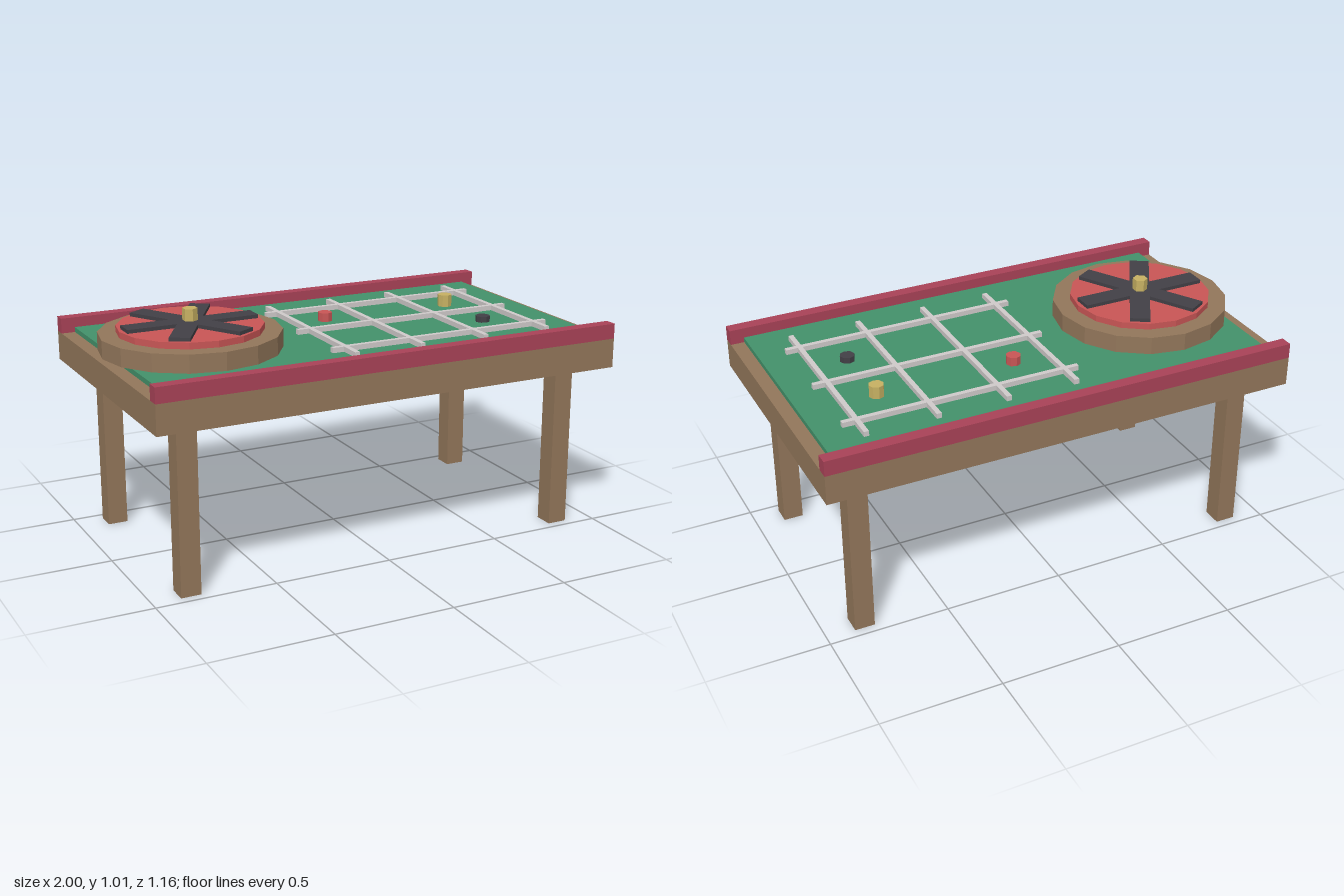
import * as THREE from 'three';

export function createModel() {
  const root = new THREE.Group();
  root.name = 'gamingTable';

  const material = (name, color) => {
    const m = new THREE.MeshStandardMaterial({ color, flatShading: true });
    m.name = name;
    return m;
  };
  const wood = material('wood', 0x92765a);
  const felt = material('greenFelt', 0x43916a);
  const crimson = material('crimsonRail', 0xa84257);
  const red = material('red', 0xc85555);
  const dark = material('charcoal', 0x424046);
  const pale = material('paleGrey', 0xcfcaca);
  const gold = material('gold', 0xc6b062);

  const add = (name, geometry, mat, x, y, z, parent = root) => {
    const mesh = new THREE.Mesh(geometry, mat);
    mesh.name = name;
    mesh.position.set(x, y, z);
    parent.add(mesh);
    return mesh;
  };
  // Both helpers place a part by its bottom and top heights
  const box = (name, mat, w, d, y0, y1, x, z, parent) =>
    add(name, new THREE.BoxGeometry(w, y1 - y0, d), mat, x, (y0 + y1) / 2, z, parent);
  const disc = (name, mat, r, sides, y0, y1, x, z, parent) =>
    add(name, new THREE.CylinderGeometry(r, r, y1 - y0, sides), mat, x, (y0 + y1) / 2, z, parent);

  // Table body
  const slabTop = 0.822, feltTop = 0.843;
  box('tableTop', wood, 2, 1.156, 0.7, slabTop, 0, 0);
  box('feltSurface', felt, 1.886, 1.054, slabTop, feltTop, 0, 0);
  for (const side of [-1, 1]) {
    box('sideRail', crimson, 2, 0.052, slabTop, 0.885, 0, side * 0.552);
    for (const end of [-1, 1])
      box('leg', wood, 0.083, 0.083, 0, 0.7, end * 0.841, side * 0.421);
  }

  // Spinning wheel
  const wheel = new THREE.Group();
  wheel.name = 'wheel';
  wheel.position.x = -0.633;
  root.add(wheel);
  disc('wheelBowl', wood, 0.367, 16, feltTop, 0.917, 0, 0, wheel);
  disc('wheelDisc', red, 0.294, 16, 0.917, 0.943, 0, 0, wheel);
  for (let i = 0; i < 3; i++)
    box('wheelSpoke', dark, 0.55, 0.083, 0.943, 0.958, 0, 0, wheel).rotation.y = i * Math.PI / 3;
  disc('wheelHub', gold, 0.031, 6, 0.958, 1.007, 0, 0, wheel);

  // Betting grid
  const grid = new THREE.Group();
  grid.name = 'bettingGrid';
  root.add(grid);
  for (let i = 0; i < 4; i++)
    box('crossLine', pale, 0.021, 0.84, feltTop, 0.864, -0.107 + i * 0.294, 0, grid);
  for (let i = -1; i <= 1; i++)
    box('longLine', pale, 1.0, 0.021, feltTop, 0.864, 0.334, i * 0.315, grid);

  // Chip stacks
  disc('redChips', red, 0.031, 8, feltTop, 0.88, 0.04, -0.157);
  disc('goldChips', gold, 0.031, 8, feltTop, 0.894, 0.629, -0.157);
  disc('darkChips', dark, 0.031, 8, feltTop, 0.868, 0.629, 0.157);

  return root;
}
